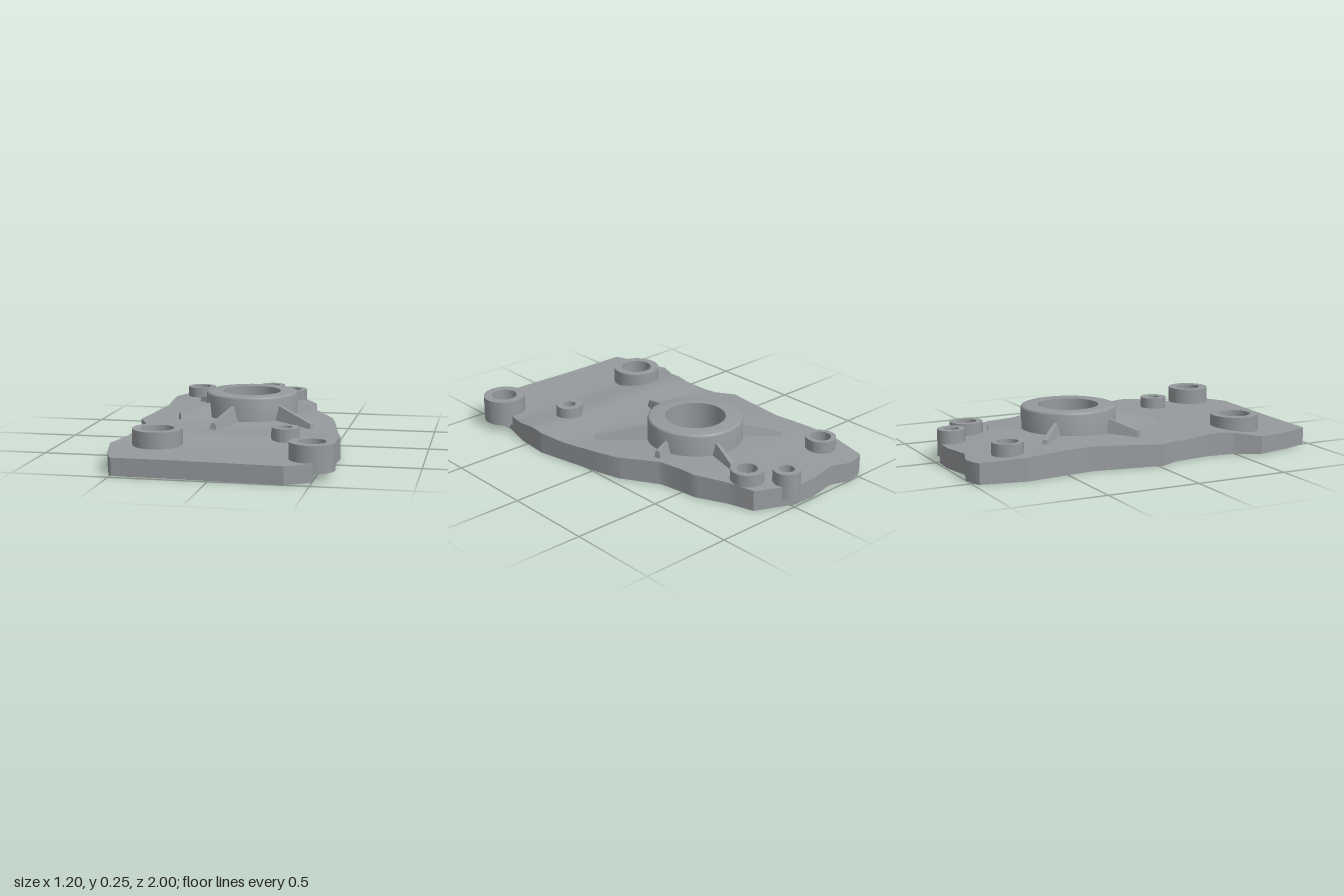
import * as THREE from 'three';
import { toCreasedNormals } from 'three/addons/utils/BufferGeometryUtils.js';

const HUB = { x: -0.022, z: -0.245, r: 0.258, bore: 0.164 };

// x, z, outer radius, bore radius, underside height
const BOSSES = [
  ['rearRightBoss', -0.438, -0.778, 0.082, 0.055, 0.06],
  ['rearEdgeBoss', -0.022, -0.92, 0.073, 0.04, 0.04],
  ['rearLeftBoss', 0.122, -0.78, 0.088, 0.053, 0.04],
  ['smallBoss', 0.29, 0.453, 0.073, 0.035, 0.06],
  ['frontRightBoss', -0.35, 0.61, 0.131, 0.085, 0.04],
  ['frontLeftBoss', 0.483, 0.802, 0.116, 0.07, 0.04],
];

// Plate outline in x, z; the two halves meet at the notch of the front left boss
const OUTLINE_BEFORE = [
  [-0.585, -0.73], [-0.54, -0.97], [-0.51, -0.985], [-0.43, -1], [-0.315, -0.96], [-0.15, -0.99],
  [-0.02, -0.985], [0.04, -0.955], [0.185, -0.89], [0.222, -0.755], [0.303, -0.58], [0.313, -0.48],
  [0.333, -0.36], [0.453, -0.16], [0.485, -0.04], [0.565, 0.36], [0.55, 0.555],
];
const OUTLINE_AFTER = [
  [0.505, 0.92], [0.375, 1], [-0.155, 0.975], [-0.495, 0.97], [-0.51, 0.95], [-0.555, 0.82],
  [-0.6, 0.63], [-0.535, 0.5], [-0.515, 0.34], [-0.545, 0.13], [-0.6, 0.025], [-0.575, -0.12],
  [-0.54, -0.36],
];

// Height of the plate's top along z
const heightCurve = new THREE.SplineCurve([
  [-1.0, 0.107], [-0.8, 0.117], [-0.6, 0.127], [-0.35, 0.129], [0, 0.115], [0.2, 0.108],
  [0.33, 0.118], [0.43, 0.122], [0.53, 0.11], [0.63, 0.096], [0.75, 0.093], [1.0, 0.093],
].map(([z, y]) => new THREE.Vector2(z, y)));
const HEIGHTS = heightCurve.getPoints(44);

function topHeight(z) {
  let i = 0;
  while (i < HEIGHTS.length - 2 && z > HEIGHTS[i + 1].x) i++;
  const a = HEIGHTS[i], b = HEIGHTS[i + 1];
  return THREE.MathUtils.mapLinear(THREE.MathUtils.clamp(z, -1, 1), a.x, b.x, a.y, b.y);
}

// Keep the part of a convex polygon where side * (p.z - z) >= 0
function clip(poly, z, side) {
  const out = [];
  poly.forEach((p, i) => {
    const q = poly[(i + 1) % poly.length];
    const dp = side * (p.z - z), dq = side * (q.z - z);
    if (dp >= 0) out.push(p);
    if (dp * dq < 0) out.push(p.clone().lerp(q, dp / (dp - dq)));
  });
  return out;
}

// Extruded outline, cut into strips along z so its top can follow the height curve
function plateGeometry() {
  const [, nx, nz, , nr] = BOSSES[5];
  const notch = [];
  for (let i = 0; i <= 24; i++) {
    const a = THREE.MathUtils.degToRad(-73 - (214 * i) / 24);
    notch.push([nx + nr * Math.cos(a), nz + nr * Math.sin(a)]);
  }
  const outline = [...OUTLINE_BEFORE, ...notch, ...OUTLINE_AFTER];
  const shape = new THREE.Shape(outline.map(([x, z]) => new THREE.Vector2(x, -z)));
  // The outline runs clockwise, so the holes run the other way
  const holes = [[HUB.x, HUB.z, HUB.bore], ...BOSSES.slice(0, 5).map((b) => [b[1], b[2], b[4]])];
  for (const [x, z, r] of holes) {
    shape.holes.push(new THREE.Path().absarc(x, -z, r, 0, Math.PI * 2, false));
  }
  let geo = new THREE.ExtrudeGeometry(shape, { depth: 1, bevelEnabled: false, curveSegments: 32 });
  geo.rotateX(-Math.PI / 2);
  if (geo.index) geo = geo.toNonIndexed();
  const pos = geo.attributes.position;
  const verts = [];
  for (let i = 0; i < pos.count; i += 3) {
    const tri = [0, 1, 2].map((k) => new THREE.Vector3().fromBufferAttribute(pos, i + k));
    for (let s = 0; s < HEIGHTS.length - 1; s++) {
      let poly = tri;
      if (s > 0) poly = clip(poly, HEIGHTS[s].x, 1);
      if (s < HEIGHTS.length - 2) poly = clip(poly, HEIGHTS[s + 1].x, -1);
      for (let k = 1; k < poly.length - 1; k++) {
        for (const p of [poly[0], poly[k], poly[k + 1]]) verts.push(p.x, p.y * topHeight(p.z), p.z);
      }
    }
  }
  const plate = new THREE.BufferGeometry();
  plate.setAttribute('position', new THREE.Float32BufferAttribute(verts, 3));
  return toCreasedNormals(plate, 0.5);
}

// Ring turned from a closed profile of radius, height
function ringGeometry(profile) {
  const points = [...profile, profile[0]].map(([r, y]) => new THREE.Vector2(r, y));
  return toCreasedNormals(new THREE.LatheGeometry(points, 64), 0.6);
}

// Rib with a roof-like section running outward along +x, falling towards its tip
function ribGeometry(length, tipHeight) {
  const start = HUB.r - 0.035;
  const geo = new THREE.BoxGeometry(1, 1, 1);
  const p = geo.attributes.position;
  for (let i = 0; i < p.count; i++) {
    const outer = p.getX(i) > 0, top = p.getY(i) > 0;
    const halfWidth = top ? (outer ? 0.012 : 0.008) : (outer ? 0.026 : 0.04);
    p.setXYZ(i,
      outer ? length - (top ? 0.008 : 0) : start,
      top ? (outer ? tipHeight : 0.205) : 0.09,
      Math.sign(p.getZ(i)) * halfWidth);
  }
  geo.computeVertexNormals();
  return geo;
}

export function createModel() {
  const group = new THREE.Group();
  const castMetal = new THREE.MeshStandardMaterial({ color: 0x969a9d });
  castMetal.name = 'cast metal grey';
  const add = (name, geo, x = 0, z = 0) => {
    const mesh = new THREE.Mesh(geo, castMetal);
    mesh.name = name;
    mesh.position.set(x, 0, z);
    group.add(mesh);
    return mesh;
  };

  add('basePlate', plateGeometry());

  // Central hub with a slightly rounded top rim
  const rim = [0, 1, 2, 3, 4].map((i) => {
    const a = (i / 4) * Math.PI / 2;
    return [HUB.r - 0.012 + 0.012 * Math.cos(a), 0.23 + 0.02 * Math.sin(a)];
  });
  add('hub', ringGeometry([[HUB.bore, 0.06], [HUB.r + 0.002, 0.06], ...rim, [HUB.bore, 0.25]]), HUB.x, HUB.z);

  // Screw bosses
  for (const [name, x, z, outer, bore, base] of BOSSES) {
    add(name, ringGeometry([[bore, base], [outer, base], [outer, 0.18], [bore, 0.18]]), x, z);
  }

  // Ribs around the hub: tip x, tip z, tip height
  const ribs = [
    [-0.387, -0.552, 0.15], [0.106, -0.67, 0.15], [0.315, -0.308, 0.165],
    [0.385, 0.12, 0.135], [-0.141, 0.25, 0.145], [-0.39, -0.002, 0.15],
  ];
  ribs.forEach(([x, z, tip], i) => {
    const dx = x - HUB.x, dz = z - HUB.z;
    const rib = add('rib' + (i + 1), ribGeometry(Math.hypot(dx, dz), tip), HUB.x, HUB.z);
    rib.rotation.y = -Math.atan2(dz, dx);
  });

  return group;
}
